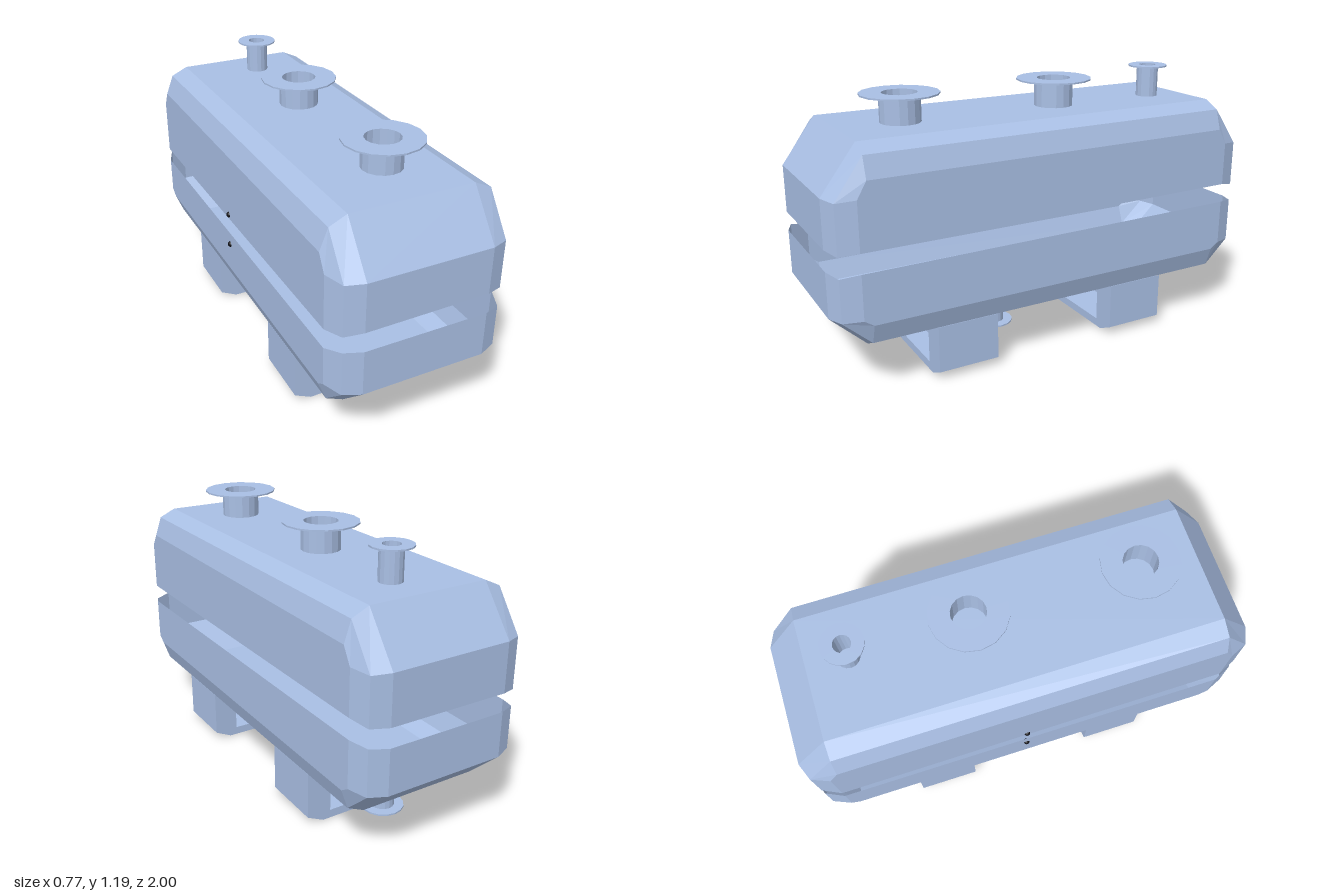
import * as THREE from 'three';

const paint = new THREE.MeshStandardMaterial({ color: 0xa9bfe4, flatShading: true, side: THREE.DoubleSide });
const black = new THREE.MeshStandardMaterial({ color: 0x0c0c12 });

// Columns across the shell, from left wall over the roof to the right wall.
// kind: 0 = roof edge, 1 = chamfer, 2 = side wall, 3 = side wall rim
const COLS = [
  [-0.375, 3], [-0.375, 2], [-0.34, 1], [-0.265, 0],
  [0.275, 0], [0.35, 1], [0.38, 2], [0.38, 3],
];
const END_Z = [1, 0.97, 0.89, 0.89];
const SHOULDER_Z = 0.85;

// Open half shell: each column is a path running from the front rim to the back rim.
// rims: [front, back] rim heights per column; knee and shoulder heights per kind.
function halfShell(name, knee, shoulder, rims, flip) {
  const pos = [], index = [];
  COLS.forEach(([x, kind], i) => {
    const zs = [END_Z[kind], END_Z[kind], SHOULDER_Z].flatMap((z) => [z]);
    const [front, back] = rims[i];
    const rimAt = (z) => front + (back - front) * (0.89 - z) / 1.78;
    const z6 = [...zs, ...zs.map((z) => -z).reverse()];
    const y6 = kind === 3
      ? z6.map(rimAt)
      : [front, knee[kind], shoulder[kind], shoulder[kind], knee[kind], back];
    z6.forEach((z, j) => pos.push(x, y6[j], z));
  });
  for (let i = 0; i < COLS.length - 1; i++) {
    for (let j = 0; j < 5; j++) {
      const a = i * 6 + j, b = a + 6, c = b + 1, d = a + 1;
      if (flip) index.push(a, c, b, a, d, c);
      else index.push(a, b, c, a, c, d);
    }
  }
  const indexed = new THREE.BufferGeometry();
  indexed.setAttribute('position', new THREE.Float32BufferAttribute(pos, 3));
  indexed.setIndex(index);
  const geometry = indexed.toNonIndexed();
  geometry.computeVertexNormals();
  const mesh = new THREE.Mesh(geometry, paint);
  mesh.name = name;
  return mesh;
}

// Hollow flanged pipe; dir is +1 for upward, -1 for downward
function nozzle(name, x, z, baseY, tipY, pipeR, boreR, flangeR) {
  const dir = Math.sign(tipY - baseY), h = Math.abs(tipY - baseY), t = 0.007;
  const points = [
    [boreR, 0], [pipeR, 0], [pipeR, h - t], [flangeR, h - t],
    [flangeR, h], [boreR, h], [boreR, 0],
  ].map(([r, y]) => new THREE.Vector2(r, y));
  const mesh = new THREE.Mesh(new THREE.LatheGeometry(points, 16), paint);
  mesh.name = name;
  mesh.position.set(x, baseY, z);
  if (dir < 0) mesh.rotation.x = Math.PI;
  return mesh;
}

// Saddle foot with a rectangular window
function saddle(name, z) {
  const shape = new THREE.Shape([
    [-0.265, 0], [0.275, 0], [0.35, 0.037], [0.35, 0.243],
    [0.275, 0.208], [-0.265, 0.208], [-0.34, 0.243], [-0.34, 0.037],
  ].map(([x, y]) => new THREE.Vector2(x, y)));
  shape.holes.push(new THREE.Path([
    [-0.23, 0.037], [-0.23, 0.172], [0.24, 0.172], [0.24, 0.037],
  ].map(([x, y]) => new THREE.Vector2(x, y))));
  const depth = 0.275;
  const geometry = new THREE.ExtrudeGeometry(shape, { depth, bevelEnabled: false });
  geometry.translate(0, 0, -depth / 2);
  const mesh = new THREE.Mesh(geometry, paint);
  mesh.name = name;
  mesh.position.z = z;
  return mesh;
}

export function createModel() {
  const model = new THREE.Group();
  model.name = 'tank';

  // Two hollow halves with slightly uneven rims
  const upperRims = [
    [0.615, 0.595], [0.615, 0.595], [0.62, 0.617], [0.635, 0.63],
    [0.64, 0.633], [0.628, 0.635], [0.64, 0.653], [0.64, 0.653],
  ];
  const lowerRims = [
    [0.53, 0.53], [0.53, 0.53], [0.55, 0.545], [0.55, 0.55],
    [0.55, 0.55], [0.54, 0.555], [0.555, 0.565], [0.555, 0.565],
  ];
  model.add(halfShell('upperShell', [0.845, 0.84, 0.85], [1.045, 1.01, 0.92], upperRims, false));
  model.add(halfShell('lowerShell', [0.352, 0.355, 0.36], [0.21, 0.245, 0.333], lowerRims, true));

  // Feet
  model.add(saddle('frontSaddle', 0.432), saddle('backSaddle', -0.428));

  // Flanged nozzles on the roof and under the floor
  model.add(
    nozzle('frontLargeNozzle', 0.035, 0.575, 1.045, 1.168, 0.087, 0.075, 0.168),
    nozzle('middleLargeNozzle', 0.035, -0.16, 1.045, 1.168, 0.087, 0.075, 0.168),
    nozzle('topSmallNozzle', 0.05, -0.672, 1.045, 1.191, 0.05, 0.038, 0.09),
    nozzle('frontDrainNozzle', 0.05, 0.167, 0.21, 0.06, 0.05, 0.038, 0.09),
    nozzle('backDrainNozzle', 0.05, -0.672, 0.21, 0.06, 0.05, 0.038, 0.09),
  );

  // Small side studs
  for (const [name, y] of [['upperStud', 0.624], ['lowerStud', 0.47]]) {
    const stud = new THREE.Mesh(new THREE.SphereGeometry(0.014, 12, 8), black);
    stud.name = name;
    stud.position.set(-0.372, y, -0.037);
    model.add(stud);
  }
  return model;
}
